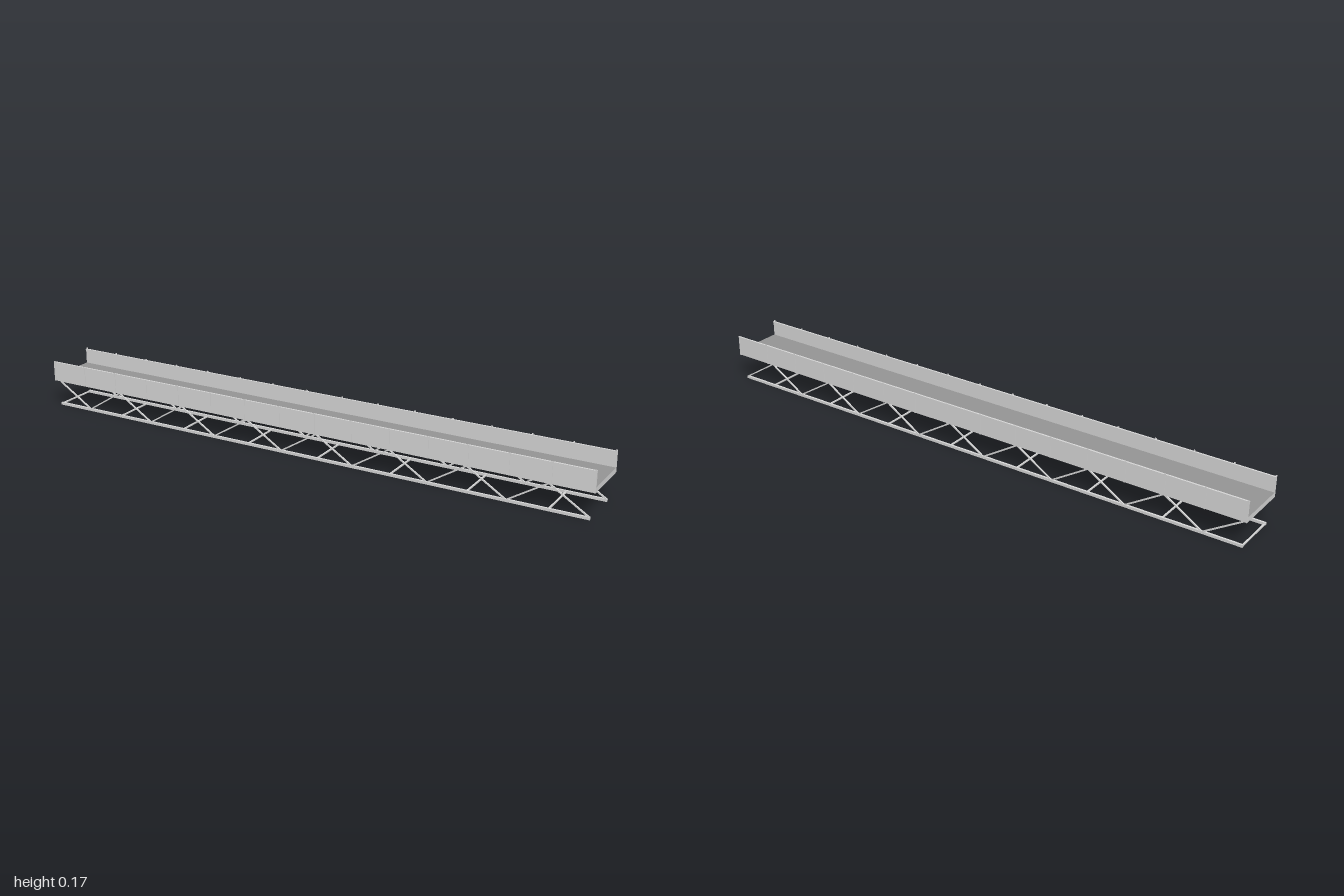
import * as THREE from 'three';

export function createModel() {
  const model = new THREE.Group();
  model.name = 'footbridge';
  const steel = new THREE.MeshStandardMaterial({ color: 0xd9d9d9 });
  steel.name = 'light steel';
  const decking = new THREE.MeshStandardMaterial({ color: 0x969696 });
  decking.name = 'dark decking';

  // Box given by its size and centre
  function box(parent, name, size, pos, material = steel) {
    const mesh = new THREE.Mesh(new THREE.BoxGeometry(...size), material);
    mesh.position.set(...pos);
    mesh.name = name;
    parent.add(mesh);
    return mesh;
  }

  // Square bar between two points in the xy plane
  function bar(parent, name, x1, y1, x2, y2, z, width) {
    const length = Math.hypot(x2 - x1, y2 - y1);
    const mesh = box(parent, name, [length, width, width], [(x1 + x2) / 2, (y1 + y2) / 2, z]);
    mesh.rotation.z = Math.atan2(y2 - y1, x2 - x1);
  }

  // Deck: dark walking surface, light edges and underside
  box(model, 'deck', [2, 0.017, 0.178], [0, 0.1015, 0],
    [steel, steel, decking, steel, steel, steel]);

  const bays = 15;
  const x0 = -0.988, x1 = 0.985;
  const step = (x1 - x0) / bays;
  const low = 0.006, high = 0.088;

  for (const side of [1, -1]) {
    // Parapet: solid panel, inner top rail and outside posts
    const parapet = new THREE.Group();
    parapet.name = side > 0 ? 'frontParapet' : 'backParapet';
    model.add(parapet);
    box(parapet, 'lowerPanel', [2, 0.017, 0.0015], [0, 0.1015, side * 0.08975]);
    box(parapet, 'panel', [2, 0.052, 0.004], [0, 0.136, side * 0.0885]);
    box(parapet, 'topRail', [2, 0.003, 0.006], [0, 0.161, side * 0.0875]);
    for (let i = 0; i <= bays; i++) {
      const x = -0.9975 + (1.995 * i) / bays;
      box(parapet, 'post', [0.005, 0.0725, 0.002], [x, 0.12925, side * 0.0915]);
    }

    // Truss: top and bottom chords with zigzag diagonals
    const truss = new THREE.Group();
    truss.name = side > 0 ? 'frontTruss' : 'backTruss';
    model.add(truss);
    const z = side * 0.0762;
    box(truss, 'topChord', [x1 - x0, 0.006, 0.006], [(x0 + x1) / 2, 0.09, side * 0.0755]);
    box(truss, 'bottomChord', [x1 - x0, 0.009, 0.007], [(x0 + x1) / 2, 0.0045, z]);
    for (let i = 0; i < bays; i++) {
      const down = i % 2 === 0;
      bar(truss, 'diagonal', x0 + i * step, down ? high : low,
        x0 + (i + 1) * step, down ? low : high, z, 0.0045);
    }
  }

  // Cross ties between the bottom chords, below every upper truss node
  for (let i = 0; i < bays; i += 2) {
    box(model, 'crossTie', [0.005, 0.0045, 0.148], [x0 + 0.0025 + i * step, 0.0045, 0]);
  }

  // Small fittings under the deck
  for (const x of [0.86, 0.33, -0.2, -0.73]) {
    box(model, 'underdeckFitting', [0.02, 0.006, 0.02], [x, 0.082, 0]);
  }

  return model;
}
